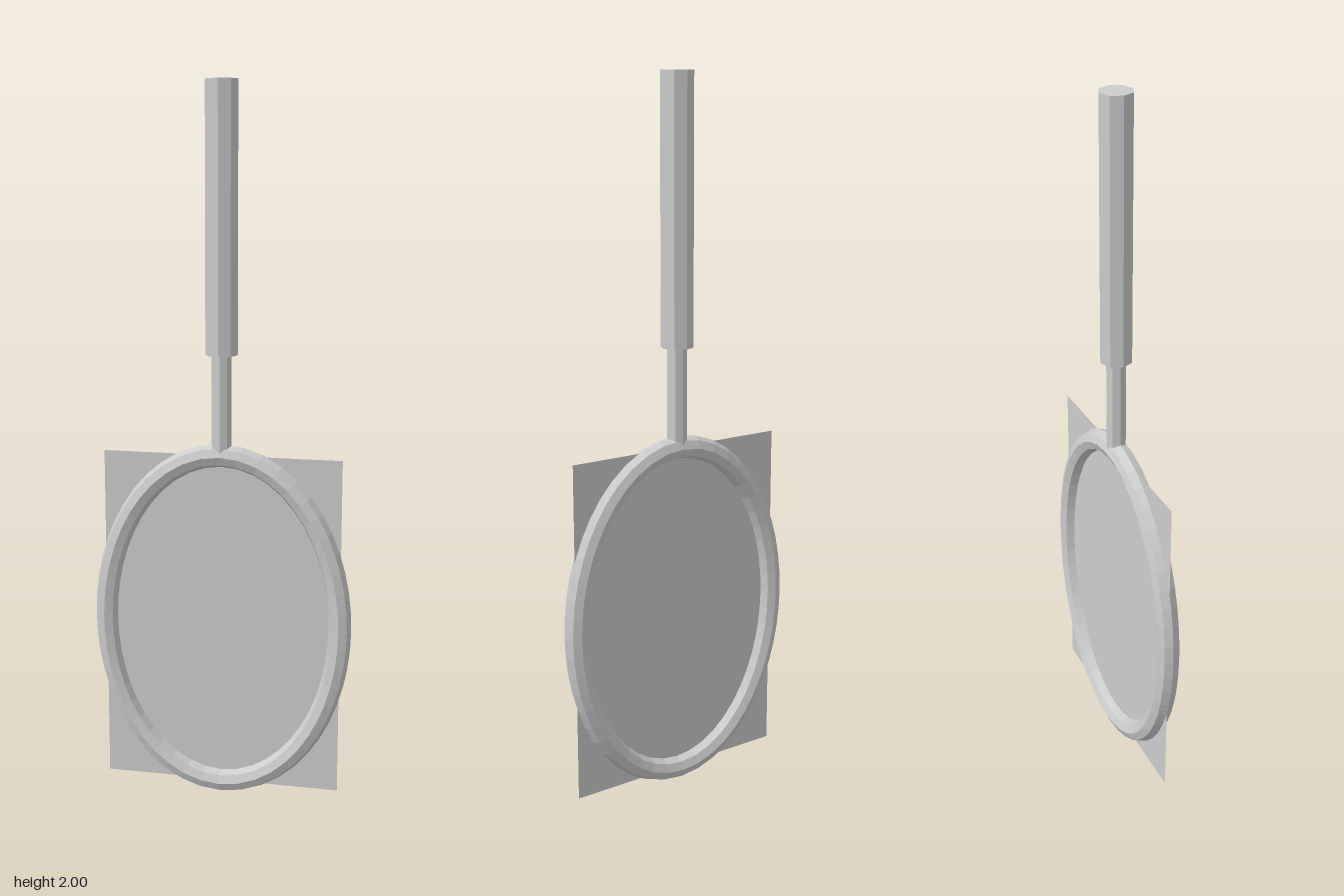
import * as THREE from 'three';

const CENTER_Y = 0.516, RX = 0.336, RY = 0.48;

// Closed upright ellipse that the rim follows
class Ellipse extends THREE.Curve {
  getPoint(t, target = new THREE.Vector3()) {
    const a = t * Math.PI * 2;
    return target.set(RX * Math.cos(a), RY * Math.sin(a), 0);
  }
}

export function createModel() {
  const group = new THREE.Group();
  const grey = new THREE.MeshStandardMaterial({ color: 0xcccccc, flatShading: true });
  grey.name = 'grey';
  const sheetGrey = grey.clone();
  sheetGrey.name = 'sheet grey';
  sheetGrey.side = THREE.DoubleSide;

  const add = (name, geometry, y, material = grey) => {
    const mesh = new THREE.Mesh(geometry, material);
    mesh.name = name;
    mesh.position.y = y;
    group.add(mesh);
  };
  const rod = (name, radius, y0, y1) =>
    add(name, new THREE.CylinderGeometry(radius, radius, y1 - y0, 8), (y0 + y1) / 2);

  // Octagonal grip and thinner shaft
  rod('grip', 0.045, 1.275, 2);
  rod('shaft', 0.028, 0.996, 1.275);

  // Oval rim of constant thickness
  add('rim', new THREE.TubeGeometry(new Ellipse(), 48, 0.032, 8, true), CENTER_Y);

  // Rectangular sheet through the rim, with corners reaching past it
  add('sheet', new THREE.PlaneGeometry(RX * 2, RY * 2), CENTER_Y, sheetGrey);

  return group;
}
